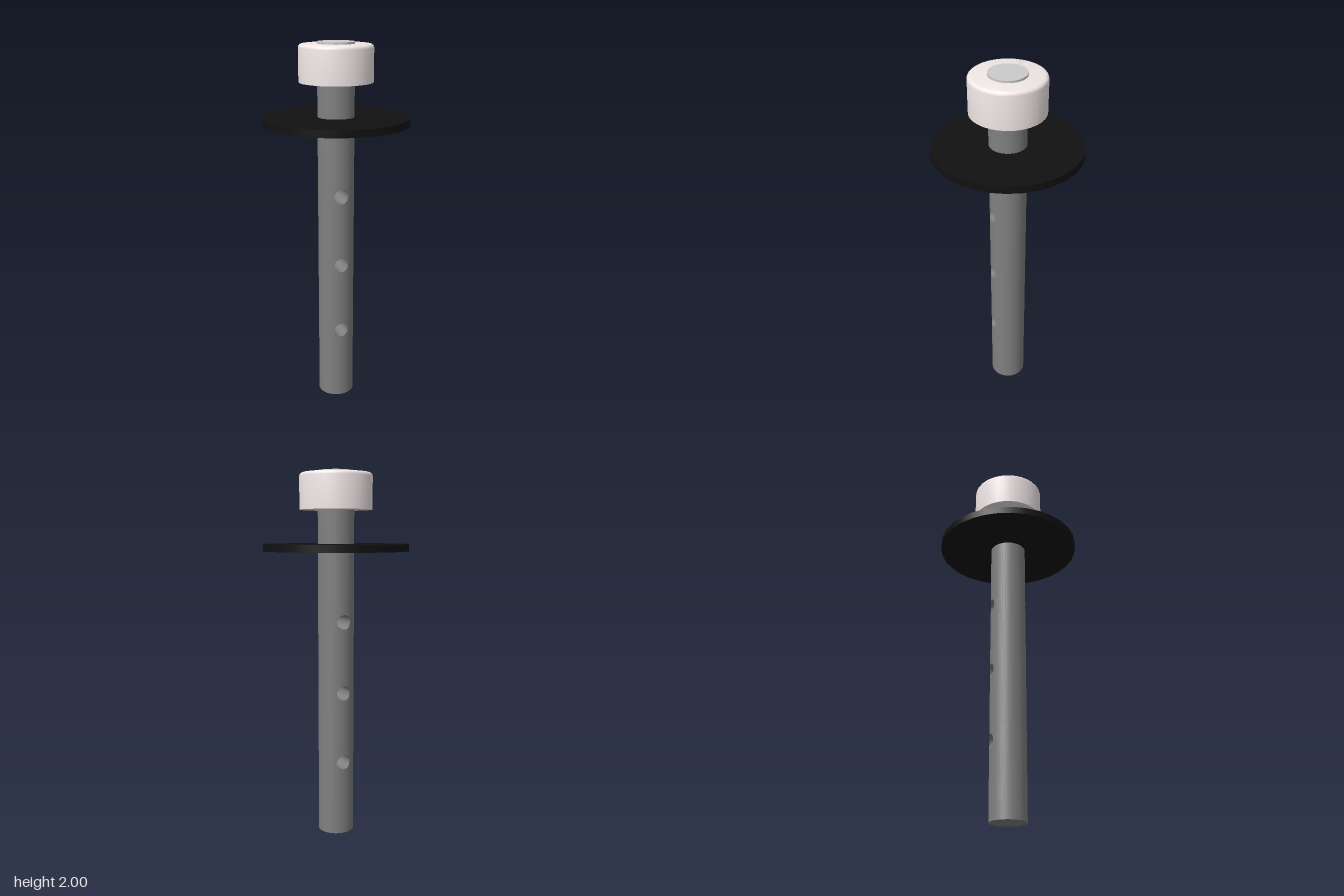
import * as THREE from 'three';
import { toCreasedNormals, mergeGeometries } from 'three/addons/utils/BufferGeometryUtils.js';

const R = 0.098, HOLE = 0.039;      // shaft and cross-hole radii
const HOLES = [0.413, 0.806, 1.198]; // hole heights
const HALF = 0.6, BAND = 0.06;      // angular and vertical half-size of the patch round a hole
const BODY_TOP = 1.98;

const mat = (color) => new THREE.MeshStandardMaterial({ color });

// Grid surface from fn(i, j) -> { p, n }
function gridSurface(nu, nv, fn) {
  const pos = [], nor = [], uv = [], index = [];
  for (let j = 0; j <= nv; j++) for (let i = 0; i <= nu; i++) {
    const { p, n } = fn(i / nu, j / nv);
    pos.push(...p); nor.push(...n); uv.push(i / nu, j / nv);
    if (i < nu && j < nv) {
      const a = j * (nu + 1) + i, b = a + 1, c = a + nu + 1, d = c + 1;
      index.push(a, c, b, b, c, d);
    }
  }
  const g = new THREE.BufferGeometry();
  g.setAttribute('position', new THREE.Float32BufferAttribute(pos, 3));
  g.setAttribute('normal', new THREE.Float32BufferAttribute(nor, 3));
  g.setAttribute('uv', new THREE.Float32BufferAttribute(uv, 2));
  g.setIndex(index);
  return g;
}

// Curved patch of shaft wall with a round hole in its middle
function holePatch(y) {
  return gridSurface(40, 4, (u, v) => {
    const t = u * Math.PI * 2, c = Math.cos(t), s = Math.sin(t);
    const k = Math.max(Math.abs(c), Math.abs(s));
    const a = THREE.MathUtils.lerp(Math.asin(HOLE * c / R), HALF * c / k, v);
    const h = THREE.MathUtils.lerp(HOLE * s, BAND * s / k, v);
    const n = [Math.sin(a), 0, Math.cos(a)];
    return { p: [R * n[0], y + h, R * n[2]], n };
  });
}

// Inner wall of a hole, running front to back
function bore(y) {
  return gridSurface(40, 1, (u, v) => {
    const t = u * Math.PI * 2, c = Math.cos(t), s = Math.sin(t);
    const x = HOLE * c, z = Math.sqrt(R * R - x * x) * (v * 2 - 1);
    return { p: [x, y + HOLE * s, z], n: [-c, -s, 0] };
  });
}

// Plain piece of shaft wall
function wall(y0, y1, start, sweep) {
  return new THREE.CylinderGeometry(R, R, y1 - y0, 20, 1, true, start, sweep)
    .translate(0, (y0 + y1) / 2, 0);
}

function shaftGeometry() {
  const parts = [];
  for (const turn of [0, Math.PI]) {
    parts.push(wall(0, BODY_TOP, turn + HALF, Math.PI - 2 * HALF));
    let y = 0;
    for (const h of HOLES) {
      parts.push(wall(y, h - BAND, turn - HALF, 2 * HALF));
      parts.push(holePatch(h).rotateY(turn));
      y = h + BAND;
    }
    parts.push(wall(y, BODY_TOP, turn - HALF, 2 * HALF));
  }
  HOLES.forEach((h) => parts.push(bore(h)));
  parts.push(new THREE.CircleGeometry(R, 48).rotateX(Math.PI / 2));
  return mergeGeometries(parts);
}

export function createModel() {
  const group = new THREE.Group();
  const add = (name, geometry, material, y = 0) => {
    const mesh = new THREE.Mesh(geometry, material);
    mesh.name = name;
    mesh.position.y = y;
    group.add(mesh);
  };

  // Drilled shaft with its lighter end cap
  const steel = mat(0x808080);
  steel.side = THREE.DoubleSide;
  add('shaft', shaftGeometry(), steel);
  add('shaftCap', new THREE.CylinderGeometry(R, R, 2 - BODY_TOP, 48), mat(0xc0c0c0), (2 + BODY_TOP) / 2);

  // Thin flange disc
  add('flange', new THREE.CylinderGeometry(0.392, 0.392, 0.039, 32), mat(0x111111), 1.595);

  // Knob with a rounded upper edge
  const r = 0.196, bottom = 1.795, top = 1.989, round = 0.02;
  const profile = [new THREE.Vector2(0, bottom), new THREE.Vector2(r, bottom)];
  for (let i = 0; i <= 4; i++) {
    const a = i / 4 * Math.PI / 2;
    profile.push(new THREE.Vector2(r - round + round * Math.cos(a), top - round + round * Math.sin(a)));
  }
  profile.push(new THREE.Vector2(0, top));
  add('knob', toCreasedNormals(new THREE.LatheGeometry(profile, 32), 0.6), mat(0xf0e6e6));

  return group;
}
